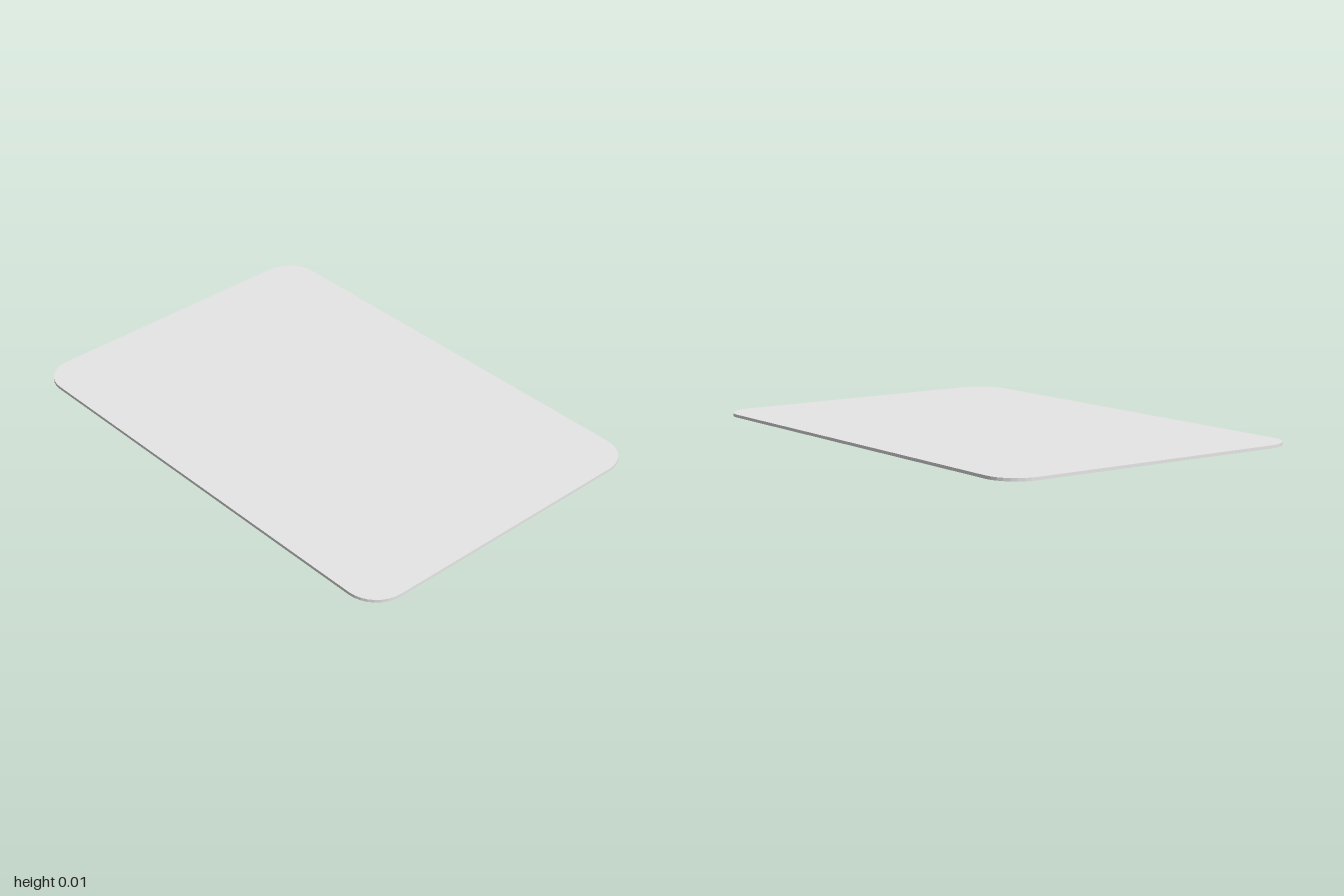
import * as THREE from 'three';

// Rounded rectangle centred on (cx, cy)
function roundedRect(target, cx, cy, w, h, r) {
  const x = w / 2 - r, y = h / 2 - r;
  target.absarc(cx + x, cy + y, r, 0, Math.PI / 2);
  target.absarc(cx - x, cy + y, r, Math.PI / 2, Math.PI);
  target.absarc(cx - x, cy - y, r, Math.PI, Math.PI * 1.5);
  target.absarc(cx + x, cy - y, r, Math.PI * 1.5, Math.PI * 2);
  target.closePath();
  return target;
}

export function createModel() {
  const group = new THREE.Group();
  const grey = new THREE.MeshStandardMaterial({ color: 0xe7e7e7 });
  grey.name = 'pale grey';
  const red = new THREE.MeshStandardMaterial({ color: 0xb80000 });
  red.name = 'deep red';

  // Thin card with rounded corners
  const cardShape = roundedRect(new THREE.Shape(), 0, 0, 1.37, 2, 0.13);
  const cardGeo = new THREE.ExtrudeGeometry(cardShape, { depth: 0.012, bevelEnabled: false, curveSegments: 4 });
  cardGeo.rotateX(-Math.PI / 2).translate(0, 0.001, 0);
  const card = new THREE.Mesh(cardGeo, grey);
  card.name = 'card';
  group.add(card);

  // Printed panel on the underside, pierced by staggered rows of 4, 3, 4, 4, 3, 4
  const panelShape = new THREE.Shape();
  panelShape.moveTo(-0.555, -0.865);
  panelShape.lineTo(0.555, -0.865);
  panelShape.lineTo(0.555, 0.865);
  panelShape.lineTo(-0.555, 0.865);
  panelShape.closePath();
  const pitch = 0.249;
  for (const [z, count] of [[0.685, 4], [0.435, 3], [0.185, 4]]) {
    for (const side of [-1, 1]) {
      for (let i = 0; i < count; i++) {
        const x = (i - (count - 1) / 2) * pitch;
        panelShape.holes.push(roundedRect(new THREE.Path(), x, side * z, 0.125, 0.125, 0.025));
      }
    }
  }
  const panelGeo = new THREE.ShapeGeometry(panelShape, 3).rotateX(Math.PI / 2);
  const panel = new THREE.Mesh(panelGeo, red);
  panel.name = 'backPattern';
  group.add(panel);

  return group;
}
